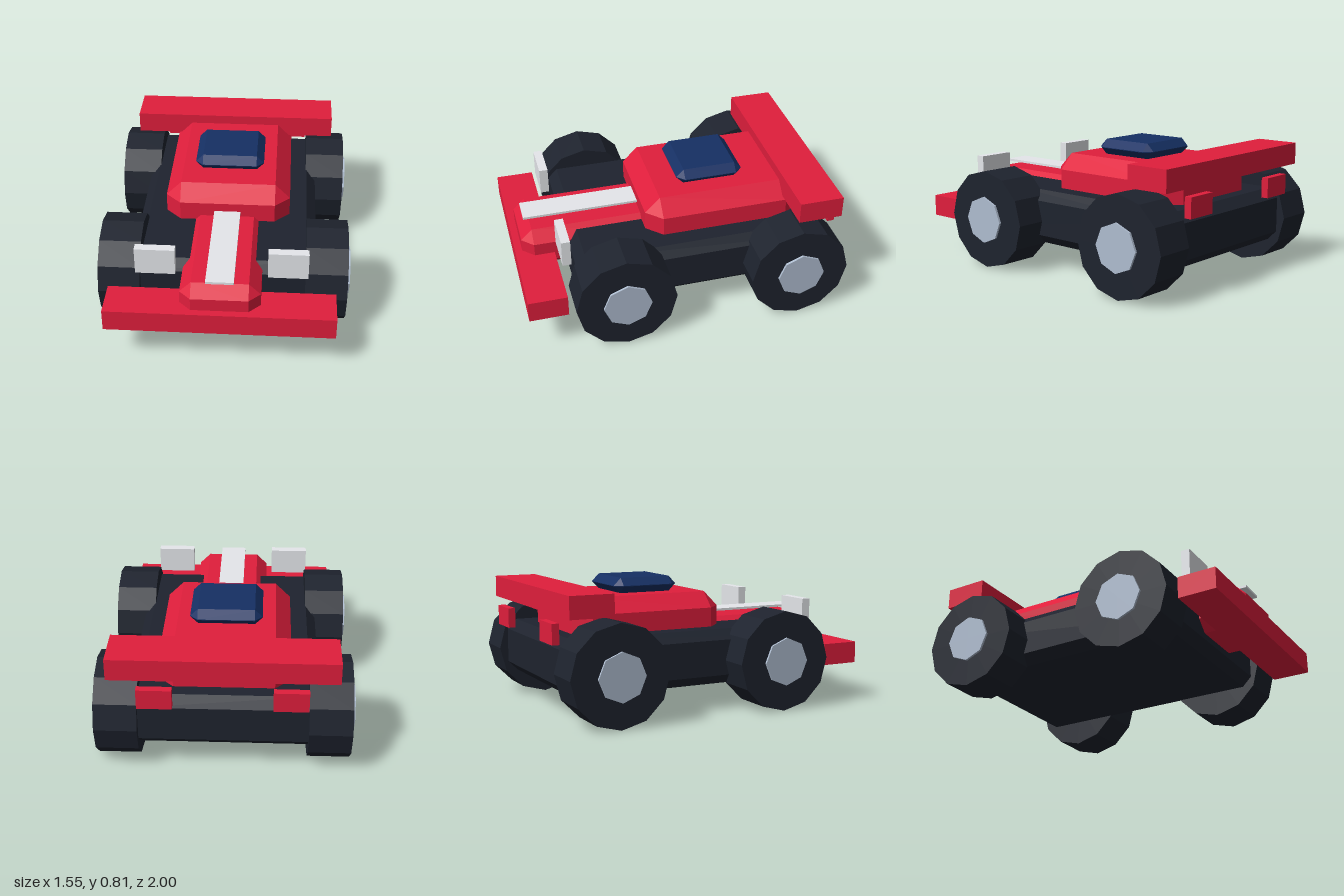
import * as THREE from 'three';
import { ConvexGeometry } from 'three/addons/geometries/ConvexGeometry.js';

const paint = (color) => new THREE.MeshStandardMaterial({ color, flatShading: true });

// Box given by its limits on each axis
function box([x0, x1], [y0, y1], [z0, z1]) {
  return new THREE.BoxGeometry(x1 - x0, y1 - y0, z1 - z0)
    .translate((x0 + x1) / 2, (y0 + y1) / 2, (z0 + z1) / 2);
}

// Box with every edge cut by a flat bevel, centred on x = 0
function bevelBox(halfWidth, [y0, y1], [z0, z1], bevel) {
  const half = [halfWidth, (y1 - y0) / 2, (z1 - z0) / 2];
  const points = [];
  for (const sx of [-1, 1]) for (const sy of [-1, 1]) for (const sz of [-1, 1]) {
    for (let axis = 0; axis < 3; axis++) {
      const p = half.map((h, i) => (i === axis ? h : h - bevel));
      points.push(new THREE.Vector3(p[0] * sx, p[1] * sy, p[2] * sz));
    }
  }
  return new ConvexGeometry(points).translate(0, (y0 + y1) / 2, (z0 + z1) / 2);
}

// Disc with its axis along x
function disc(radius, x0, x1, sides) {
  return new THREE.CylinderGeometry(radius, radius, x1 - x0, sides)
    .rotateZ(Math.PI / 2).translate((x0 + x1) / 2, 0, 0);
}

export function createModel() {
  const model = new THREE.Group();
  model.name = 'buggy';
  const red = paint(0xe01e3c), dark = paint(0x1e232e), blue = paint(0x163064);
  const silver = paint(0xe5e7eb), steel = paint(0xaebccf);

  const add = (name, geometry, material, parent = model) => {
    const mesh = new THREE.Mesh(geometry, material);
    mesh.name = name;
    parent.add(mesh);
    return mesh;
  };

  // Body
  add('chassis', bevelBox(0.565, [0.16, 0.5], [-0.94, 0.67], 0.06), dark);
  add('cabin', bevelBox(0.395, [0.4, 0.715], [-0.8, 0.19], 0.095), red);
  add('nose', bevelBox(0.24, [0.26, 0.53], [0, 0.955], 0.07), red);
  add('canopy', bevelBox(0.22, [0.712, 0.81], [-0.47, -0.045], 0.047), blue);
  add('noseStripe', box([-0.083, 0.083], [0.55, 0.565], [0.12, 0.922]), silver);

  // Full-width bars
  add('frontBumper', box([-0.685, 0.685], [0.245, 0.38], [0.76, 1]), red);
  add('rearWing', box([-0.67, 0.67], [0.64, 0.775], [-0.96, -0.685]), red);

  // Mirrored lamps and wheels
  for (const [side, s] of [['left', 1], ['right', -1]]) {
    const span = (a, b) => (s > 0 ? [a, b] : [-b, -a]);
    add(side + 'Headlight', box(span(0.275, 0.515), [0.485, 0.655], [0.7, 0.755]), silver);
    add(side + 'TailLight', box(span(0.29, 0.495), [0.475, 0.6], [-1, -0.955]), red);

    for (const [end, z] of [['Front', 0.415], ['Rear', -0.685]]) {
      const wheel = new THREE.Group();
      wheel.name = side + end + 'Wheel';
      wheel.position.set(0, 0.31, z);
      add('tyre', disc(0.31, ...span(0.5, 0.755), 12), dark, wheel);
      add('hub', disc(0.148, ...span(0.763, 0.777), 8), steel, wheel);
      model.add(wheel);
    }
  }
  return model;
}
